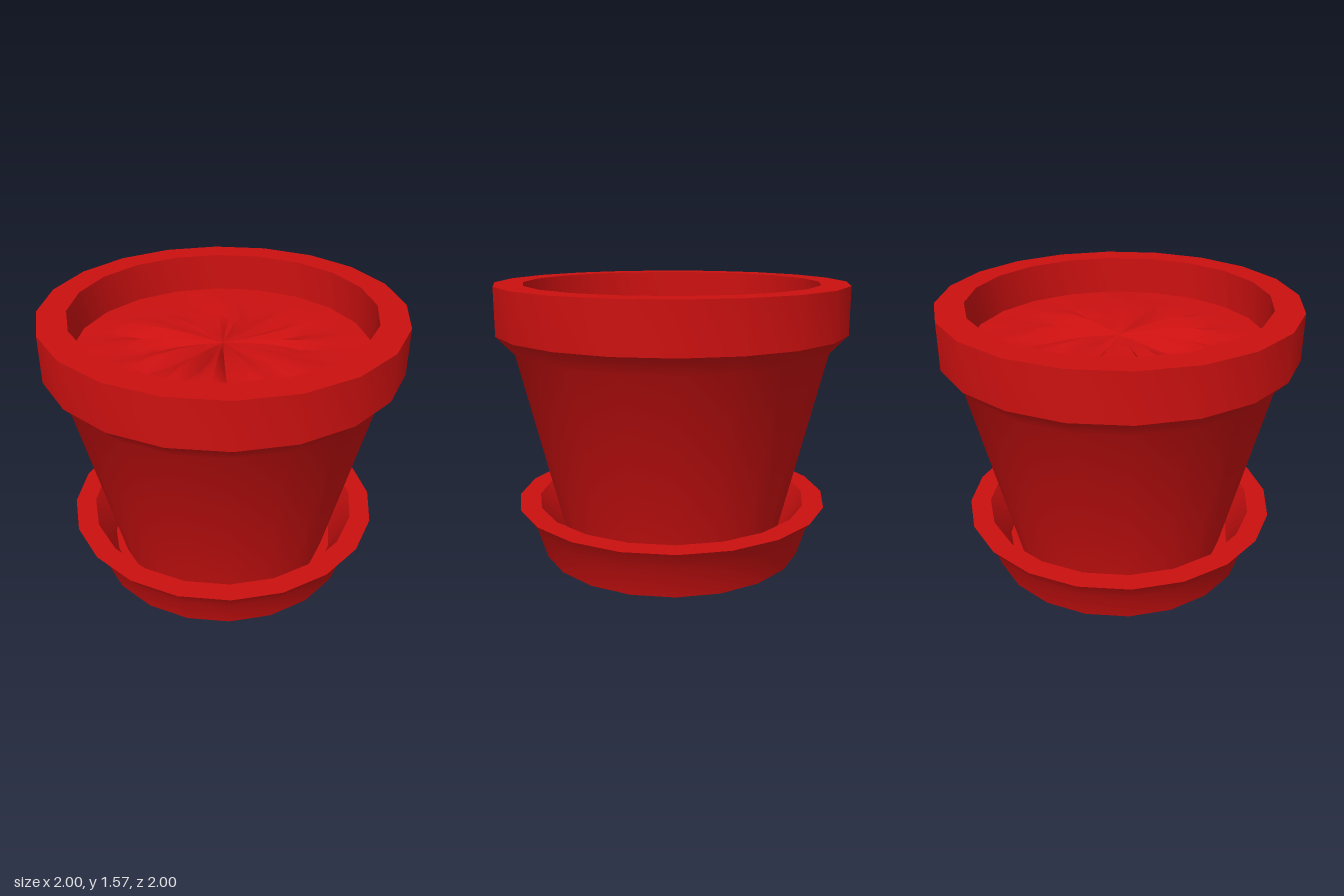
import * as THREE from 'three';
import { toCreasedNormals } from 'three/addons/utils/BufferGeometryUtils.js';

const SIDES = 20;
const red = new THREE.MeshStandardMaterial({ color: 0xcc1010 });

// Turned part from a [radius, height] profile running up the outside and down the inside
function turned(name, profile) {
  const points = profile.map(([r, y]) => new THREE.Vector2(r, y));
  const geometry = toCreasedNormals(new THREE.LatheGeometry(points, SIDES), 0.6);
  const mesh = new THREE.Mesh(geometry, red);
  mesh.name = name;
  return mesh;
}

function seeded(seed) {
  return () => {
    seed = (seed * 16807) % 2147483647;
    return seed / 2147483647;
  };
}

// Soil: a disc with uneven radial furrows that fade out at the wall
function soil(radius, height) {
  const rings = 6, spokes = SIDES * 2;
  const random = seeded(41);
  const furrows = Array.from({ length: spokes }, () => (random() - 0.5) * 0.08);
  const ends = Array.from({ length: spokes }, () => 0.55 + random() * 0.4);
  const profile = [];
  for (let i = 0; i <= rings; i++) profile.push(new THREE.Vector2(radius * (1 - i / rings), 0));
  const geometry = new THREE.LatheGeometry(profile, spokes);
  const p = geometry.attributes.position;
  for (let i = 0; i < p.count; i++) {
    const t = 1 - (i % (rings + 1)) / rings;
    const s = Math.floor(i / (rings + 1)) % spokes;
    const rise = t < ends[s] ? Math.sin((Math.PI * t) / ends[s]) : 0;
    p.setY(i, height + 0.015 * (1 - t) + furrows[s] * rise);
  }
  const mesh = new THREE.Mesh(toCreasedNormals(geometry, 0.6), red);
  mesh.name = 'soil';
  return mesh;
}

export function createModel() {
  const group = new THREE.Group();
  group.name = 'flowerPot';

  // Dish with a flared rim
  group.add(turned('saucer', [
    [0, 0], [0.765, 0], [0.82, 0.18], [0.91, 0.305],
    [0.79, 0.305], [0.72, 0.18], [0.68, 0.06], [0, 0.06],
  ]));

  // Tapered body with a thick collar, hollow down to below the soil
  group.add(turned('pot', [
    [0, 0.06], [0.627, 0.06], [0.9, 1.2], [1, 1.305], [1, 1.57],
    [0.84, 1.57], [0.83, 1.28], [0, 1.28],
  ]));

  group.add(soil(0.835, 1.35));
  return group;
}
